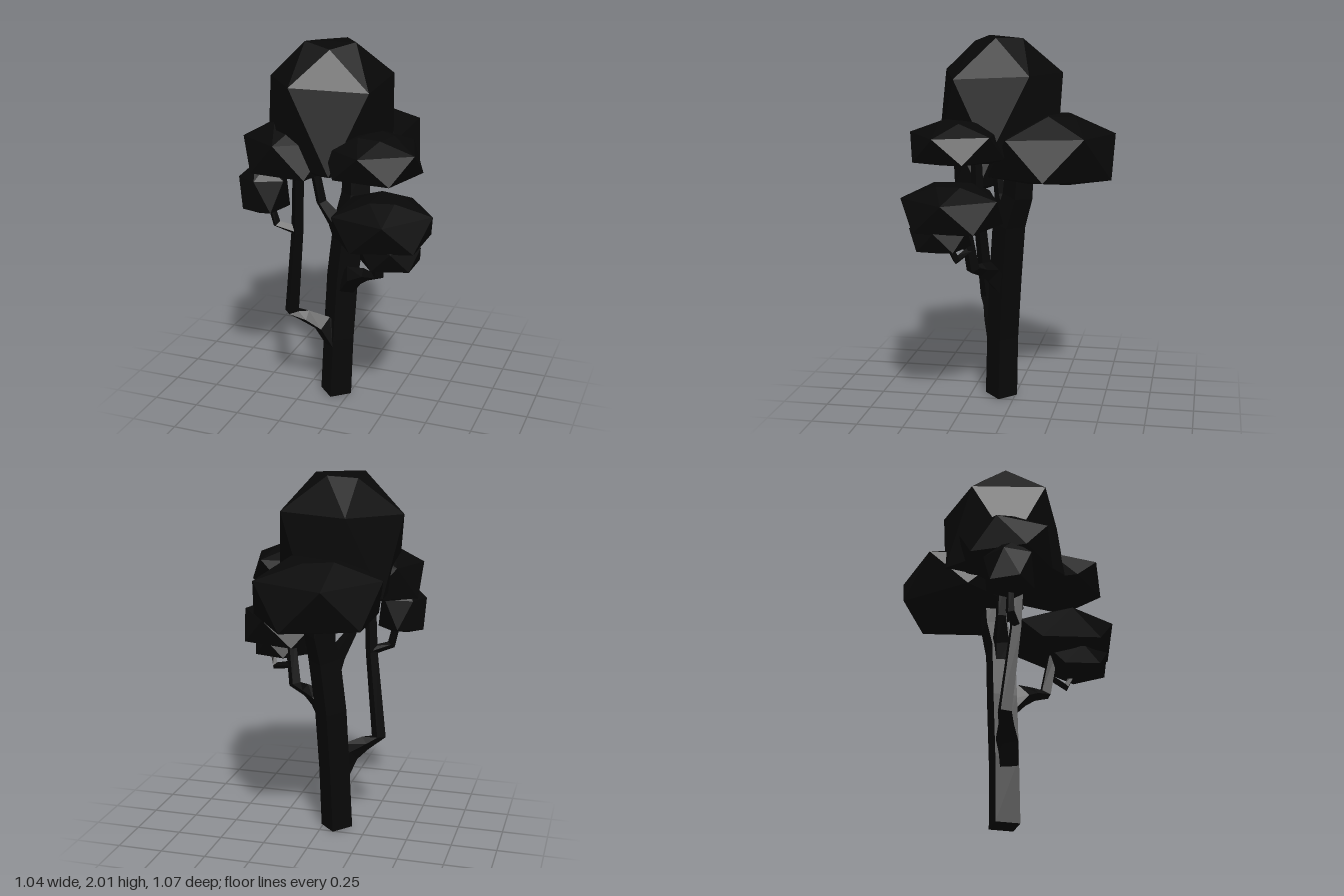
import * as THREE from 'three';
import { ConvexGeometry } from 'three/addons/geometries/ConvexGeometry.js';

const SIDES = 4;

// Square-section limb through points [x, y, z, radius], capped at both ends
function limbGeometry(path) {
  const pts = path.map(([x, y, z]) => new THREE.Vector3(x, y, z));
  const positions = [];
  const index = [];
  pts.forEach((p, i) => {
    const before = pts[Math.max(i - 1, 0)];
    const after = pts[Math.min(i + 1, pts.length - 1)];
    const t = after.clone().sub(before).normalize();
    const u = new THREE.Vector3(0, 0, 1);
    u.addScaledVector(t, -u.dot(t)).normalize();
    const v = t.clone().cross(u);
    for (let j = 0; j < SIDES; j++) {
      const a = (j / SIDES) * Math.PI * 2;
      const q = p.clone()
        .addScaledVector(u, Math.cos(a) * path[i][3])
        .addScaledVector(v, Math.sin(a) * path[i][3]);
      positions.push(q.x, q.y, q.z);
    }
  });
  for (let i = 0; i < pts.length - 1; i++) {
    for (let j = 0; j < SIDES; j++) {
      const a = i * SIDES + j;
      const b = i * SIDES + ((j + 1) % SIDES);
      index.push(a, b, b + SIDES, a, b + SIDES, a + SIDES);
    }
  }
  const e = (pts.length - 1) * SIDES;
  index.push(0, 2, 1, 0, 3, 2, e, e + 1, e + 2, e, e + 2, e + 3);
  const g = new THREE.BufferGeometry();
  g.setAttribute('position', new THREE.Float32BufferAttribute(positions, 3));
  g.setIndex(index);
  g.computeVertexNormals();
  return g;
}

// Leaf clump pentagon rings, bottom to top: [height fraction, radius fraction, turn]
const CLUMP = [
  [0, 0.55, 0],
  [0.08, 1, 36],
  [0.7, 1, 0],
  [0.98, 0.4, 36],
];

// Faceted clump; turn is the direction of one upper corner, in degrees from +x towards +z
function clumpGeometry([x, z, radius, y0, y1, turn]) {
  const pts = [];
  for (const [h, r, offset] of CLUMP) {
    for (let k = 0; k < 5; k++) {
      const a = THREE.MathUtils.degToRad(k * 72 + offset + turn);
      const lift = h > 0 ? 0.02 * Math.sin(k * 2.4 + turn) : 0;
      pts.push(new THREE.Vector3(
        x + Math.cos(a) * r * radius,
        y0 + (h + lift) * (y1 - y0),
        z + Math.sin(a) * r * radius
      ));
    }
  }
  return new ConvexGeometry(pts);
}

export function createModel() {
  const tree = new THREE.Group();
  tree.name = 'tree';
  const material = new THREE.MeshStandardMaterial({ color: 0x080808, flatShading: true });
  const add = (name, geometry) => {
    const mesh = new THREE.Mesh(geometry, material);
    mesh.name = name;
    tree.add(mesh);
  };

  // Trunk and branches
  const limbs = {
    trunk: [[-0.08, 0.005, 0.08, 0.09], [-0.067, 0.35, 0.07, 0.088], [-0.05, 0.7, 0.05, 0.09],
      [-0.02, 1.0, 0.025, 0.09], [0, 1.16, -0.025, 0.082], [0, 1.42, -0.045, 0.075]],
    rightBranch: [[-0.08, 0.33, 0.09, 0.07], [-0.14, 0.44, 0.13, 0.06], [-0.22, 0.485, 0.17, 0.04],
      [-0.29, 0.52, 0.2, 0.04], [-0.235, 1.0, 0.235, 0.034], [-0.215, 1.4, 0.25, 0.032]],
    rightTwig: [[-0.235, 1.01, 0.235, 0.026], [-0.34, 1.045, 0.26, 0.024], [-0.37, 1.18, 0.28, 0.02]],
    middleBranch: [[-0.04, 0.9, 0.04, 0.06], [-0.08, 1.02, 0.06, 0.05], [-0.15, 1.14, 0.1, 0.03],
      [-0.185, 1.38, 0.13, 0.028]],
    leftBranch: [[-0.04, 0.64, 0.06, 0.06], [0.04, 0.745, 0.12, 0.06], [0.12, 0.775, 0.15, 0.036],
      [0.195, 0.795, 0.18, 0.036], [0.235, 1.08, 0.22, 0.03]],
    leftTwig: [[0.21, 0.905, 0.195, 0.022], [0.33, 0.875, 0.24, 0.022], [0.36, 0.98, 0.28, 0.018]],
  };
  for (const [name, path] of Object.entries(limbs)) add(name, limbGeometry(path));

  // Leaf clumps: [x, z, radius, bottom, top, turn]
  const clumps = {
    crown: [-0.095, 0.083, 0.34, 1.34, 2.01, 180],
    backLeaves: [-0.045, -0.205, 0.347, 1.25, 1.605, 36],
    leftUpperLeaves: [0.2, 0.26, 0.25, 1.37, 1.585, 90],
    rightUpperLeaves: [-0.272, 0.2, 0.25, 1.33, 1.605, 90],
    rightLowerLeaves: [-0.395, 0.285, 0.132, 1.13, 1.39, 90],
    leftLowerLeaves: [0.252, 0.278, 0.268, 1.02, 1.265, 0],
    leftSmallLeaves: [0.313, 0.327, 0.162, 0.925, 1.09, 0],
  };
  for (const [name, spec] of Object.entries(clumps)) add(name, clumpGeometry(spec));

  return tree;
}
